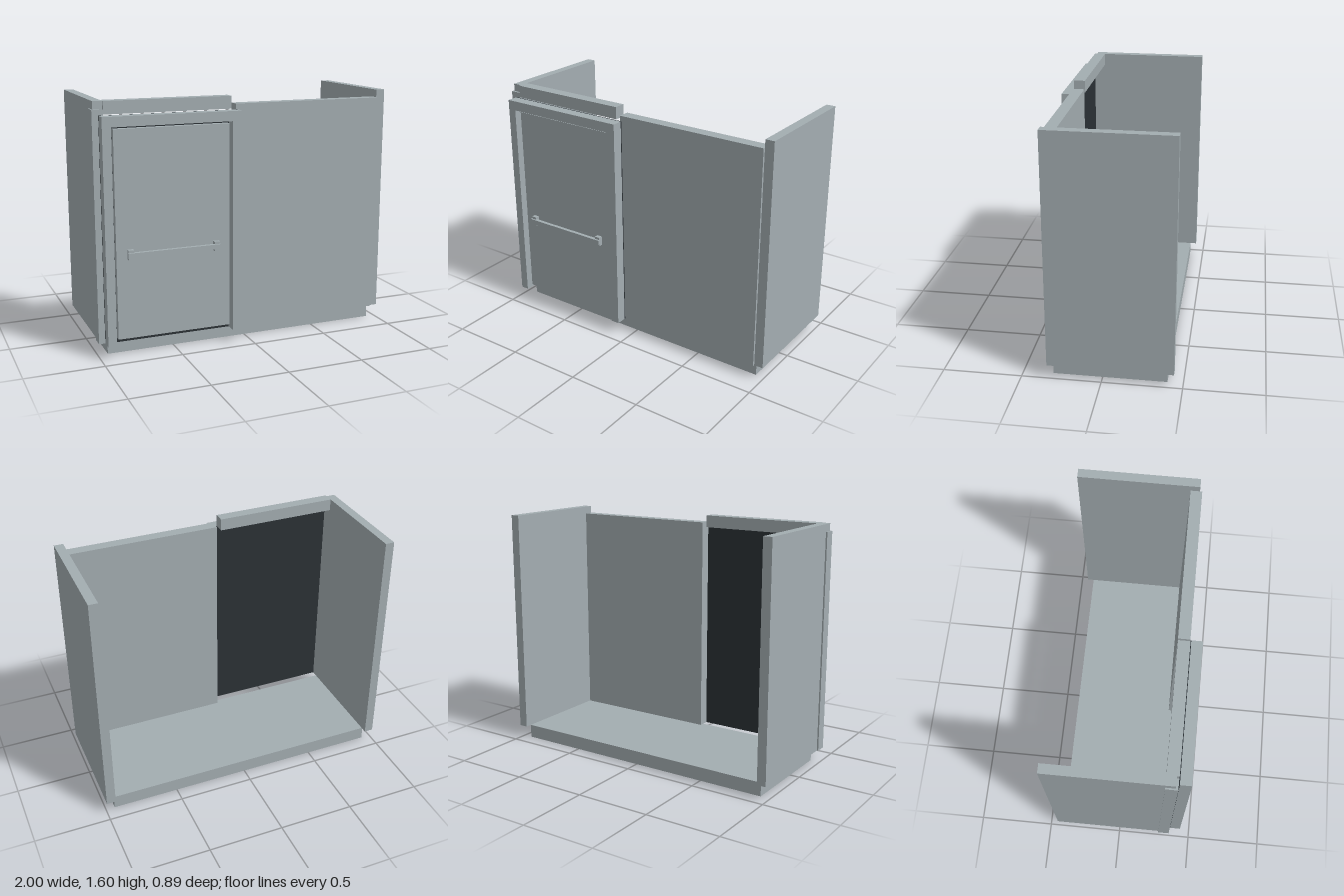
import * as THREE from 'three';

export function createModel() {
  const group = new THREE.Group();
  const grey = new THREE.MeshStandardMaterial({ color: 0xa3adb1 });
  grey.name = 'panel grey';
  const dark = new THREE.MeshStandardMaterial({ color: 0x2b3135 });
  dark.name = 'gasket dark';

  // Box given by its minimum and maximum on each axis
  function box(name, [x0, x1], [y0, y1], [z0, z1], material = grey, parent = group) {
    const mesh = new THREE.Mesh(new THREE.BoxGeometry(x1 - x0, y1 - y0, z1 - z0), material);
    mesh.position.set((x0 + x1) / 2, (y0 + y1) / 2, (z0 + z1) / 2);
    mesh.name = name;
    parent.add(mesh);
    return mesh;
  }

  // Floor and walls
  box('floor', [-0.935, 0.94], [0, 0.09], [-0.402, 0.31]);
  box('rightSideWall', [-0.99, -0.93], [0.09, 1.6], [-0.446, 0.34]);
  box('leftSideWall', [0.94, 1], [0.09, 1.6], [-0.446, 0.34]);
  box('frontWall', [-0.08, 0.94], [0.09, 1.55], [0.28, 0.355]);
  box('cornerPost', [-1, -0.93], [0.09, 1.55], [0.28, 0.355]);
  box('header', [-0.93, -0.11], [1.52, 1.6], [0.28, 0.355]);

  // Sliding door
  const door = new THREE.Group();
  door.name = 'door';
  group.add(door);
  box('doorBacking', [-0.96, -0.07], [0.09, 1.515], [0.355, 0.362], dark, door);
  box('doorLeaf', [-0.886, -0.142], [0.12, 1.436], [0.362, 0.402], grey, door);

  // Frame around the leaf, open at the bottom
  const outline = [
    [-0.96, 0.09], [-0.905, 0.09], [-0.905, 1.452], [-0.131, 1.452],
    [-0.131, 0.09], [-0.07, 0.09], [-0.07, 1.515], [-0.96, 1.515],
  ].map(([x, y]) => new THREE.Vector2(x, y));
  const frame = new THREE.Mesh(
    new THREE.ExtrudeGeometry(new THREE.Shape(outline), { depth: 0.071, bevelEnabled: false }),
    grey,
  );
  frame.position.z = 0.362;
  frame.name = 'doorFrame';
  door.add(frame);

  // Pull bar on two mounts
  box('handleBar', [-0.82, -0.216], [0.647, 0.678], [0.418, 0.442], grey, door);
  for (const x of [-0.798, -0.236]) {
    box('handleMount', [x - 0.018, x + 0.018], [0.632, 0.694], [0.4, 0.43], grey, door);
  }

  return group;
}
